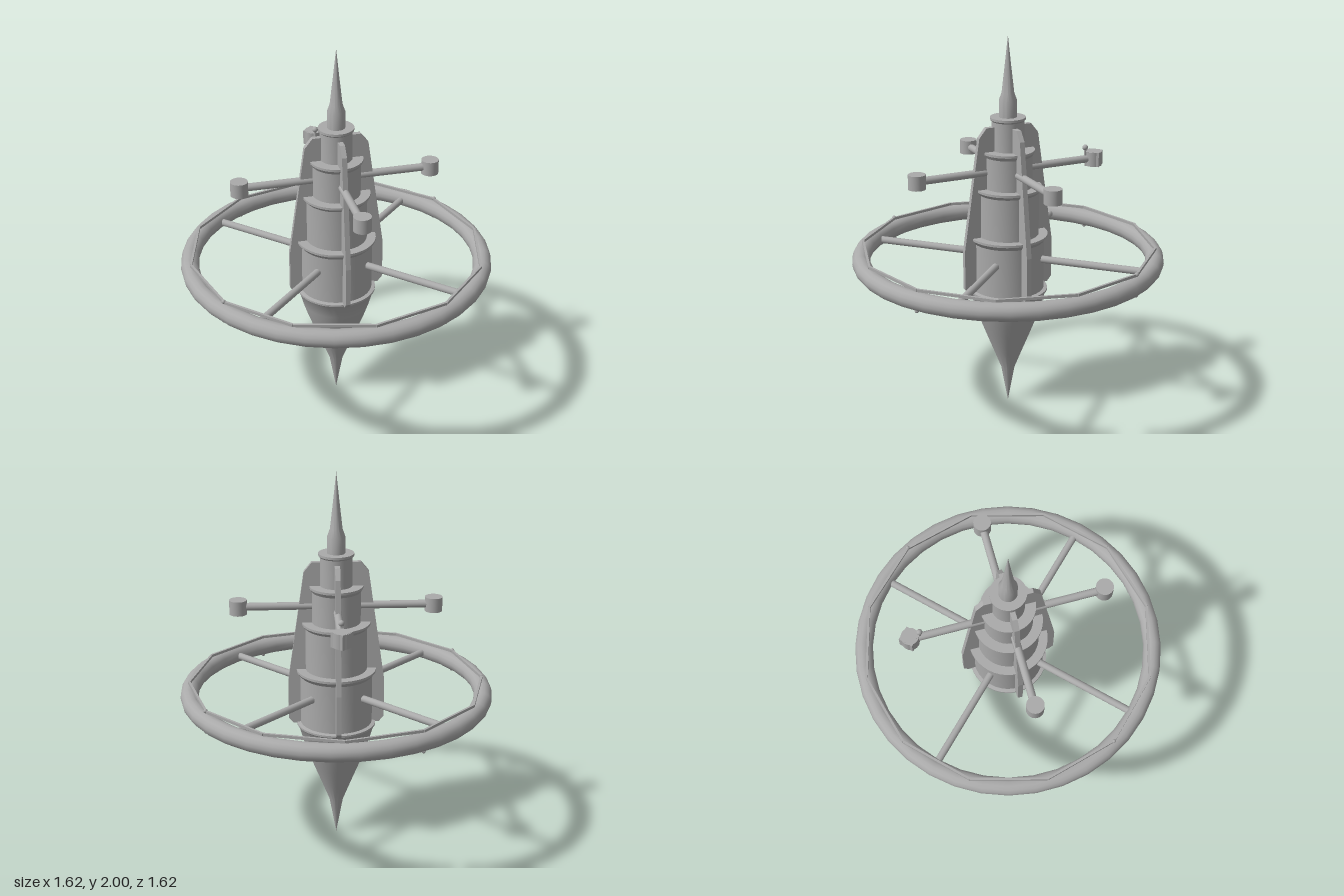
import * as THREE from 'three';
import { toCreasedNormals } from 'three/addons/utils/BufferGeometryUtils.js';

const grey = new THREE.MeshStandardMaterial({ color: 0xaaaaaa });
grey.name = 'hull grey';

export function createModel() {
  const model = new THREE.Group();
  model.name = 'spaceStation';

  const add = (name, geometry, parent = model, x = 0, y = 0, z = 0) => {
    const mesh = new THREE.Mesh(geometry, grey);
    mesh.name = name;
    mesh.position.set(x, y, z);
    parent.add(mesh);
    return mesh;
  };
  const lathe = (name, points) => add(name, toCreasedNormals(
    new THREE.LatheGeometry(points.map(([r, y]) => new THREE.Vector2(r, y)), 40), 0.5));
  // Rod lying along +x between two radii
  const rod = (name, from, to, radius, y, parent) => {
    const mesh = add(name, new THREE.CylinderGeometry(radius, radius, to - from, 16), parent, (from + to) / 2, y, 0);
    mesh.rotation.z = Math.PI / 2;
    return mesh;
  };

  // Pointed keel with its collar
  lathe('keel', [[0, 0], [0.036, 0.2], [0.075, 0.3], [0.115, 0.4], [0.15, 0.49],
    [0.177, 0.57], [0.198, 0.645], [0.207, 0.655], [0.207, 0.665], [0.185, 0.67], [0, 0.67]]);

  // Stacked tiers, each with a flared lip: radius, lip radius, bottom, top, lip height
  const tiers = [
    [0.188, 0.207, 0.66, 0.965, 0.035],
    [0.16, 0.176, 0.95, 1.22, 0.03],
    [0.126, 0.138, 1.2, 1.415, 0.03],
    [0.083, 0.091, 1.4, 1.585, 0.02],
  ];
  tiers.forEach(([r, lip, y0, y1, h], i) => lathe('tier' + (i + 1),
    [[0, y0], [r, y0], [r, y1 - h], [lip, y1 - 0.012], [lip, y1], [0, y1]]));

  // Spire
  lathe('spire', [[0, 1.57], [0.046, 1.57], [0.046, 1.67], [0.032, 1.71], [0.016, 1.85], [0, 2]]);

  // Habitat ring and its spokes
  const ring = add('ring', new THREE.TorusGeometry(0.765, 0.047, 14, 36), model, 0, 0.84, 0);
  ring.rotation.x = Math.PI / 2;
  for (let i = 0; i < 4; i++) {
    const spoke = new THREE.Group();
    spoke.name = 'spoke';
    spoke.rotation.y = i * Math.PI / 2;
    rod('spokeTube', 0.15, 0.74, 0.019, 0.84, spoke);
    model.add(spoke);
  }

  // Twelve-sided rail on the ring
  const railRadius = 0.765, railY = 0.896;
  const railLength = 2 * railRadius * Math.sin(Math.PI / 12);
  for (let i = 0; i < 12; i++) {
    const a = i * Math.PI / 6;
    const d = railRadius * Math.cos(Math.PI / 12);
    const bar = add('rail', new THREE.BoxGeometry(0.012, 0.014, railLength), model,
      d * Math.cos(a), railY, -d * Math.sin(a));
    bar.rotation.y = a;
  }

  // Beacon lamps above and below the ring
  [[0.2, -0.74, true], [-0.2, 0.74, true], [0.74, 0.2, false], [-0.74, -0.2, false]].forEach(([x, z, top]) => {
    const lamp = new THREE.SphereGeometry(0.011, 12, 8);
    if (top) add('upperLamp', lamp, model, x, 0.9, z);
    add('lowerLamp', lamp, model, x, 0.79, z);
  });

  // Diagonal fins, docking arms and pods
  const finShape = new THREE.Shape([[0.06, 0.66], [0.225, 0.66], [0.25, 0.69], [0.25, 0.9],
    [0.165, 1.49], [0.125, 1.54], [0.06, 1.54]].map(([x, y]) => new THREE.Vector2(x, y)));
  const finGeometry = new THREE.ExtrudeGeometry(finShape, { depth: 0.026, bevelEnabled: false });
  finGeometry.translate(0, 0, -0.013);
  for (let i = 0; i < 4; i++) {
    const side = new THREE.Group();
    side.name = 'finAndArm';
    side.rotation.y = Math.PI / 4 + i * Math.PI / 2;
    add('fin', finGeometry, side);
    rod('arm', 0.1, 0.48, 0.02, 1.307, side);
    add('pod', new THREE.CylinderGeometry(0.045, 0.045, 0.075, 24), side, 0.5, 1.307, 0);
    model.add(side);
  }

  // Square housing and ball on the back pod
  add('podHousing', new THREE.BoxGeometry(0.076, 0.077, 0.076), model, -0.355, 1.307, -0.355);
  add('ballStem', new THREE.CylinderGeometry(0.006, 0.006, 0.06, 8), model, -0.318, 1.345, -0.318);
  add('ball', new THREE.SphereGeometry(0.015, 16, 12), model, -0.318, 1.37, -0.318);

  return model;
}
